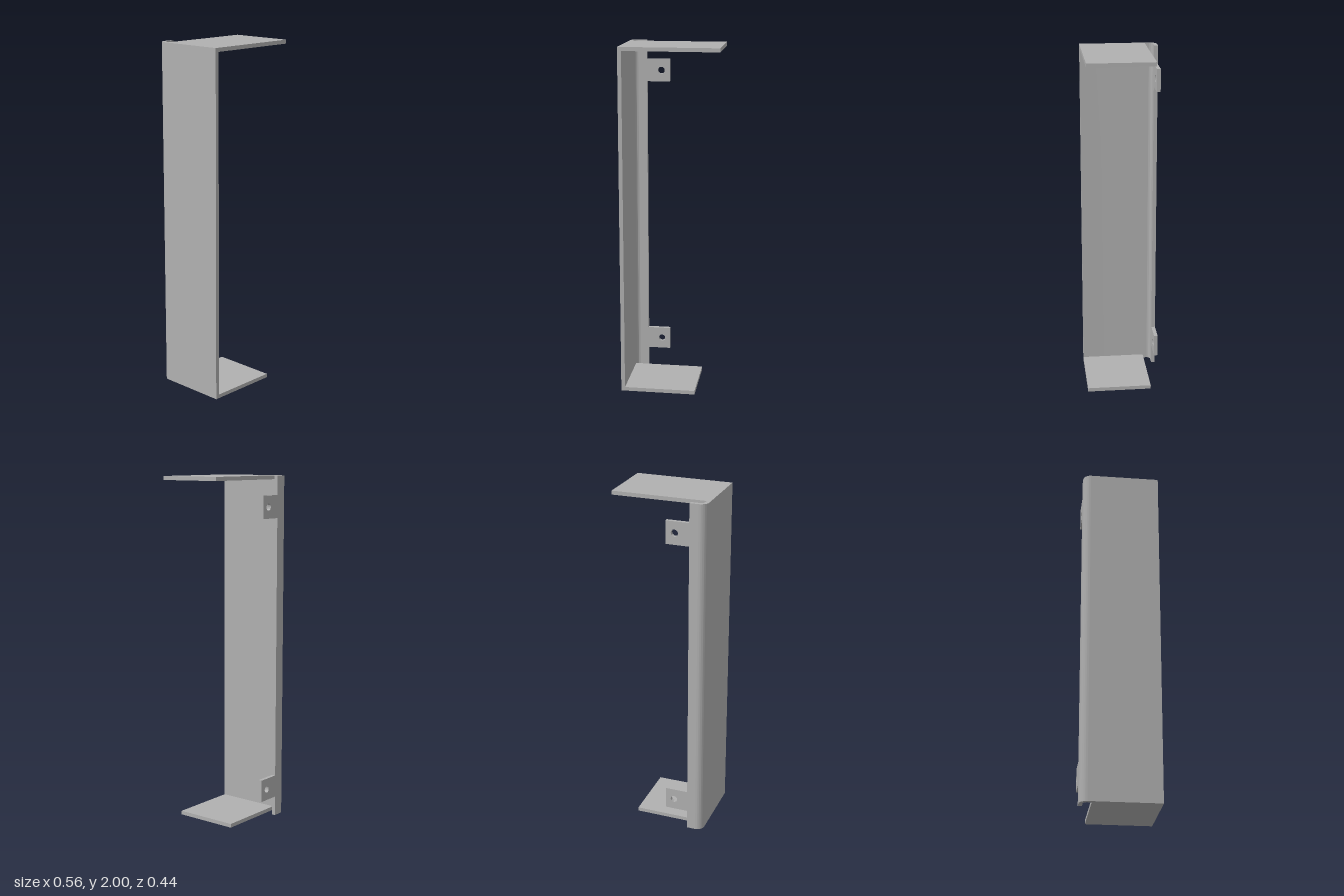
import * as THREE from 'three';
import { toCreasedNormals } from 'three/addons/utils/BufferGeometryUtils.js';

export function createModel() {
  const group = new THREE.Group();
  group.name = 'sheetMetalBracket';
  const steel = new THREE.MeshStandardMaterial({ color: 0xb0b0b0 });
  steel.name = 'greySteel';

  const T = 0.022; // sheet thickness
  const left = -0.282, back = -0.222, front = 0.22;
  const R = 0.044, r = R - T; // outer and inner bend radius
  const flangeEnd = -0.188;

  const add = (name, geometry, x = 0, y = 0, z = 0) => {
    const mesh = new THREE.Mesh(geometry, steel);
    mesh.name = name;
    mesh.position.set(x, y, z);
    group.add(mesh);
  };

  // Side wall rolling through the bend into the back flange (plan outline, drawn as x, -z)
  const cx = left + R, cy = -back - R;
  const wall = new THREE.Shape();
  wall.moveTo(left, -front);
  wall.lineTo(left + T, -front);
  wall.lineTo(left + T, cy);
  wall.absarc(cx, cy, r, Math.PI, Math.PI / 2, true);
  wall.lineTo(flangeEnd, -back - T);
  wall.lineTo(flangeEnd, -back);
  wall.lineTo(cx, -back);
  wall.absarc(cx, cy, R, Math.PI / 2, Math.PI, false);
  wall.closePath();
  const wallGeometry = new THREE.ExtrudeGeometry(wall, { depth: 2, bevelEnabled: false, curveSegments: 16 });
  wallGeometry.rotateX(-Math.PI / 2);
  add('sideWallAndFlange', toCreasedNormals(wallGeometry, 0.5));

  // Top and bottom plates, reaching out from the side wall
  const plate = (name, right, y) => {
    const x0 = left + T, z0 = -0.155;
    add(name, new THREE.BoxGeometry(right - x0, T, front - z0), (x0 + right) / 2, y, (z0 + front) / 2);
  };
  plate('topPlate', 0.28, 2 - T / 2);
  plate('bottomPlate', 0.15, T / 2);

  // Mounting tabs with screw holes
  const tabEnd = -0.055, half = 0.065;
  const tab = new THREE.Shape();
  tab.moveTo(flangeEnd, -half);
  tab.lineTo(tabEnd, -half);
  tab.lineTo(tabEnd, half);
  tab.lineTo(flangeEnd, half);
  tab.closePath();
  const hole = new THREE.Path();
  hole.absarc(-0.105, 0, 0.02, 0, Math.PI * 2, true);
  tab.holes.push(hole);
  const tabGeometry = toCreasedNormals(
    new THREE.ExtrudeGeometry(tab, { depth: T, bevelEnabled: false, curveSegments: 24 }), 0.5);
  add('lowerTab', tabGeometry, 0, 0.18, back);
  add('upperTab', tabGeometry, 0, 1.827, back);

  return group;
}
